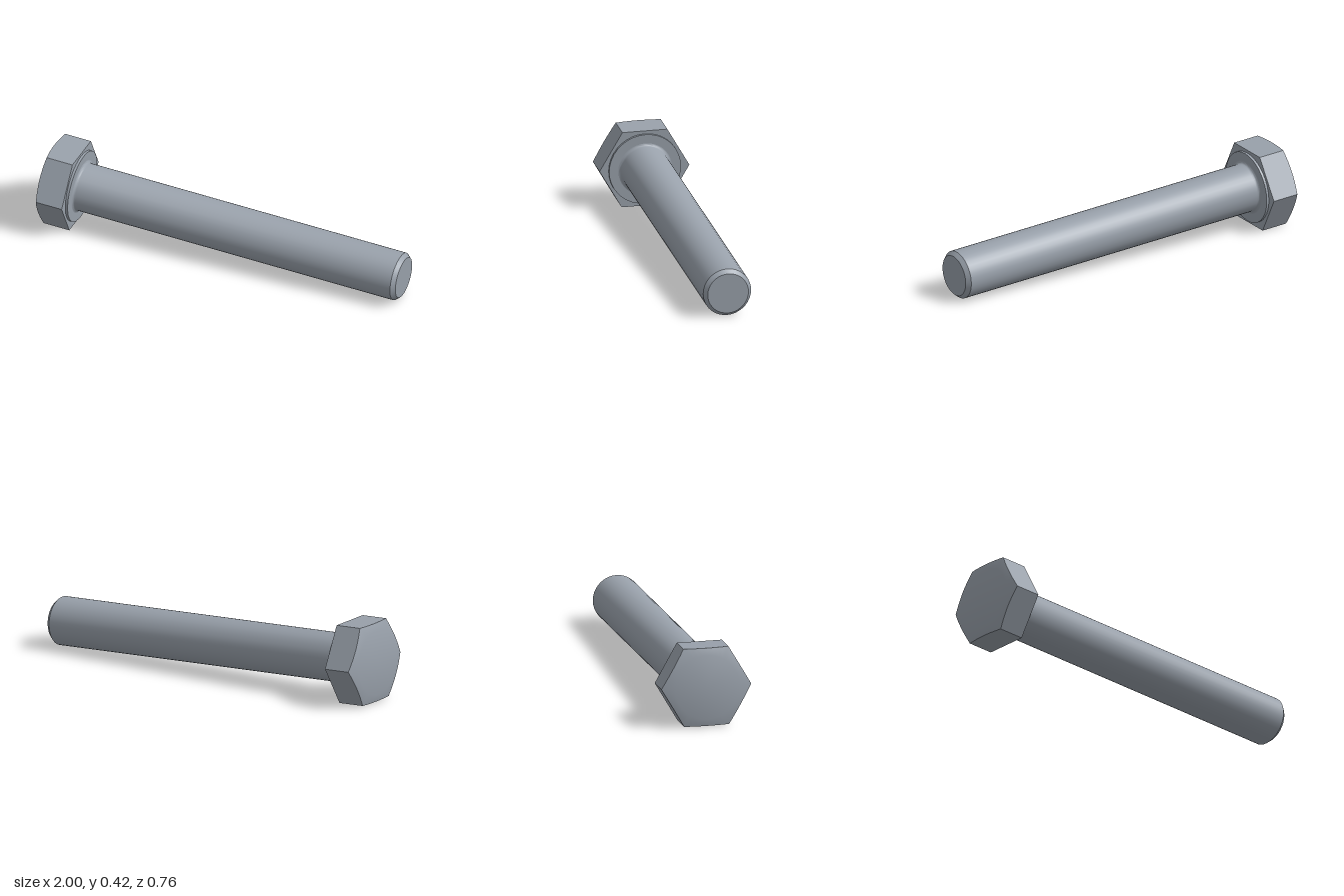
import * as THREE from 'three';
import { toCreasedNormals } from 'three/addons/utils/BufferGeometryUtils.js';

const APOTHEM = 0.206;   // half the width across the head's flats
const HEAD = 0.166;      // head height
const CROWN = 0.17;      // radius of the flat on the head's crown
const LENGTH = 1.8186;   // under-head face to tip
const SHANK = 0.127;     // shank radius
const WASHER = 0.013;    // thickness of the raised washer face

// Hexagonal prism with a shallow conical crown, built from rings along -x
function headGeometry() {
  const n = 48;
  const hex = a => APOTHEM / Math.cos(((a + Math.PI / 6) % (Math.PI / 3)) - Math.PI / 6);
  const rings = [
    () => [0, 0],
    a => [0, hex(a)],
    a => [-(HEAD - (hex(a) - CROWN) * 0.31), hex(a)],
    () => [-HEAD, CROWN],
    () => [-HEAD, 0],
  ];
  const pos = [], index = [];
  rings.forEach((ring, i) => {
    for (let j = 0; j < n; j++) {
      const a = (j / n) * Math.PI * 2;
      const [x, r] = ring(a);
      pos.push(x, r * Math.cos(a), r * Math.sin(a));
      if (i === rings.length - 1) continue;
      const p = i * n + j, q = i * n + (j + 1) % n;
      if (i < rings.length - 2) index.push(p, p + n, q + n);
      else index.push(p, p + n, q);
      if (i > 0 && i < rings.length - 2) index.push(p, q + n, q);
    }
  });
  const g = new THREE.BufferGeometry();
  g.setAttribute('position', new THREE.Float32BufferAttribute(pos, 3));
  g.setIndex(index);
  return toCreasedNormals(g, 0.6);
}

// Turned part along +x from [radius, distance] pairs
function turned(profile) {
  const g = new THREE.LatheGeometry(profile.map(p => new THREE.Vector2(...p)), 36);
  return toCreasedNormals(g.rotateZ(-Math.PI / 2), 0.5);
}

export function createModel() {
  const steel = new THREE.MeshStandardMaterial({ color: 0x99a1ab });
  steel.name = 'steel';

  const bolt = new THREE.Group();
  bolt.name = 'bolt';
  const add = (name, geometry) => {
    const mesh = new THREE.Mesh(geometry, steel);
    mesh.name = name;
    bolt.add(mesh);
  };

  add('hexHead', headGeometry());
  add('washerFace', turned([[0.19, 0], [0.19, WASHER], [SHANK, WASHER]]));

  // Shank with a small fillet under the head and a chamfered tip
  const fillet = 0.015, profile = [];
  for (let i = 0; i <= 4; i++) {
    const a = (i / 4) * Math.PI / 2;
    profile.push([SHANK + fillet * (1 - Math.sin(a)), WASHER + fillet * (1 - Math.cos(a))]);
  }
  profile.push([SHANK, LENGTH - 0.022], [0.108, LENGTH], [0, LENGTH]);
  add('shank', turned(profile));

  // Lay the bolt down, resting on the head's flat and the tip
  const x = new THREE.Vector3(1, -0.0435, 0.213).normalize();
  const z = new THREE.Vector3().crossVectors(x, new THREE.Vector3(0, 1, 0)).normalize();
  const y = new THREE.Vector3().crossVectors(z, x);
  bolt.quaternion.setFromRotationMatrix(new THREE.Matrix4().makeBasis(x, y, z));
  bolt.position.set(-0.8, 0.2065, -0.1185);

  const model = new THREE.Group();
  model.name = 'hexBolt';
  model.add(bolt);
  return model;
}
